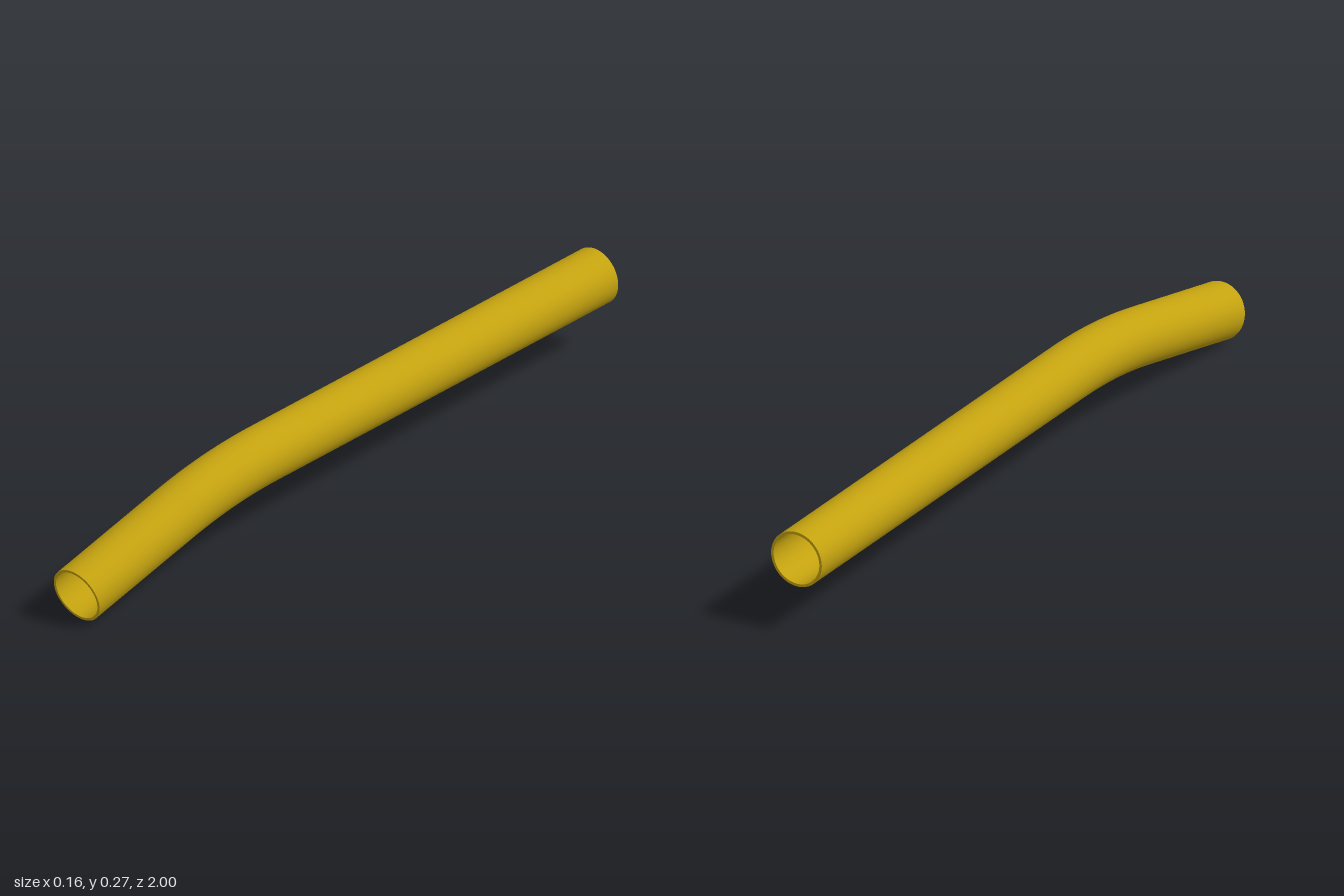
import * as THREE from 'three';

const OUTER = 0.0765, INNER = 0.069, SIDES = 64;

export function createModel() {
  const group = new THREE.Group();
  group.name = 'bentPipe';
  const material = new THREE.MeshStandardMaterial({ color: 0xc4a20f, side: THREE.DoubleSide });

  // Centre line: long straight run, gentle bend, short sloping run; slightly skewed in x
  const point = (z, y) => new THREE.Vector3(-0.005 * z, y, z);
  const back = point(-1, 0.196);
  const bendStart = point(0.27, 0.196);
  const corner = point(0.443, 0.196);
  const front = point(0.984, 0.0752);
  const slope = front.clone().sub(corner).normalize();
  const bendEnd = corner.clone().addScaledVector(slope, corner.distanceTo(bendStart));

  const path = new THREE.CurvePath();
  path.add(new THREE.LineCurve3(back, bendStart));
  path.add(new THREE.QuadraticBezierCurve3(bendStart, corner, bendEnd));
  path.add(new THREE.LineCurve3(bendEnd, front));

  const add = (name, geometry) => {
    const mesh = new THREE.Mesh(geometry, material);
    mesh.name = name;
    group.add(mesh);
    return mesh;
  };

  // Outer and inner walls
  add('outerWall', new THREE.TubeGeometry(path, 120, OUTER, SIDES));
  add('innerWall', new THREE.TubeGeometry(path, 120, INNER, SIDES));

  // Flat rims closing the wall thickness at both ends
  const addRim = (name, centre, direction) => {
    const rim = add(name, new THREE.RingGeometry(INNER, OUTER, SIDES));
    rim.position.copy(centre);
    rim.lookAt(centre.clone().add(direction));
  };
  addRim('frontRim', front, slope);
  addRim('backRim', back, back.clone().sub(bendStart).normalize());

  return group;
}
